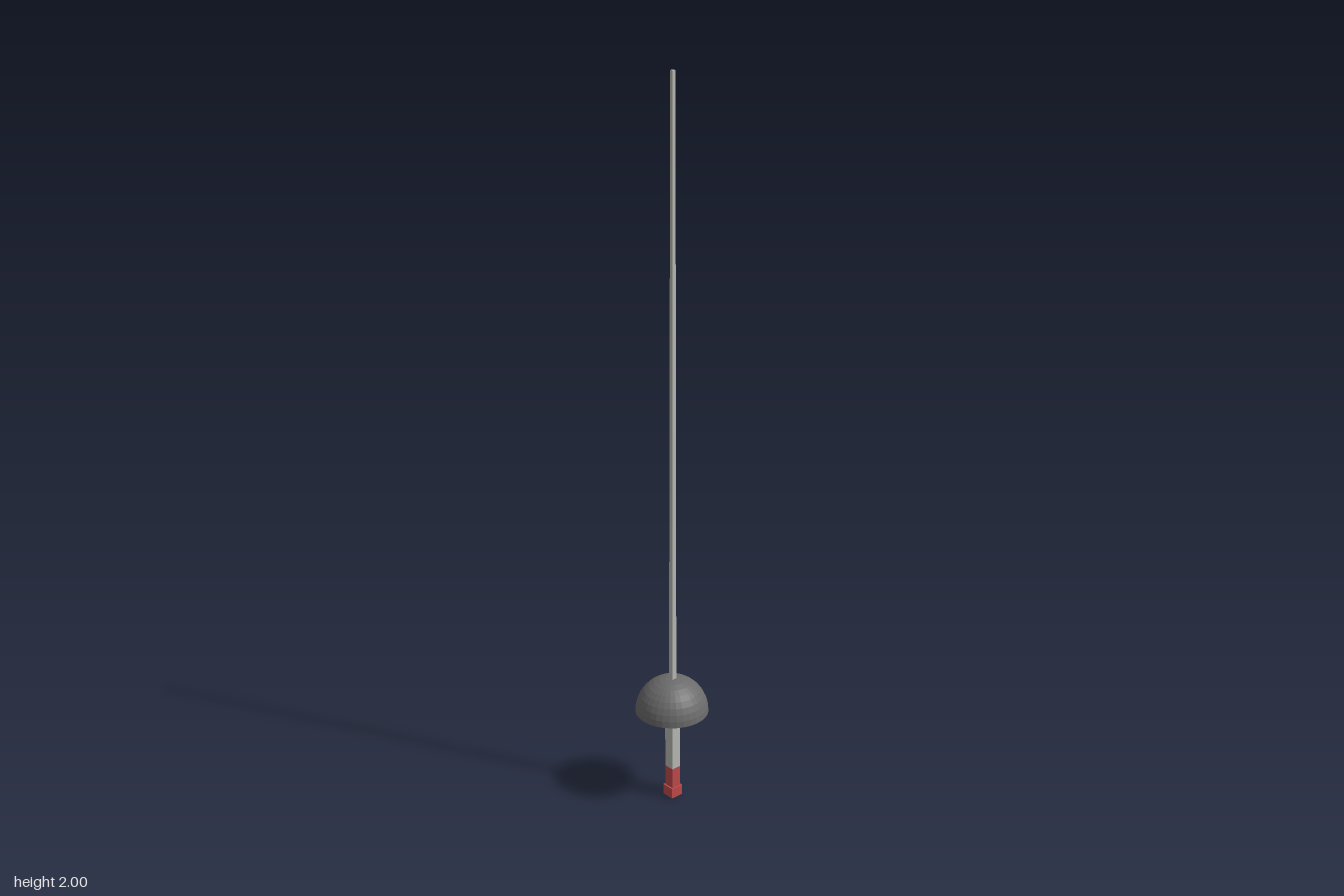
import * as THREE from 'three';

export function createModel() {
  const flat = (name, color) => {
    const m = new THREE.MeshStandardMaterial({ color });
    m.name = name;
    return m;
  };
  const steel = flat('light steel', 0xb8b8b4);
  const gunmetal = flat('dark guard metal', 0x6b6b6b);
  gunmetal.side = THREE.DoubleSide;
  gunmetal.flatShading = true;
  const red = flat('red grip', 0xc04a4a);

  const model = new THREE.Group();
  model.name = 'fencingSword';
  const axisZ = 0.003; // the blade and handle sit slightly forward of the guard centre

  const add = (name, geometry, material, y, z = axisZ) => {
    const mesh = new THREE.Mesh(geometry, material);
    mesh.name = name;
    mesh.position.set(0, y, z);
    model.add(mesh);
  };
  const block = (name, width, depth, y0, y1, material) =>
    add(name, new THREE.BoxGeometry(width, y1 - y0, depth), material, (y0 + y1) / 2);

  // Handle: pommel, red lower grip, then a steel grip with red on its left face
  block('pommel', 0.037, 0.037, 0, 0.03, red);
  block('lowerGrip', 0.028, 0.03, 0.03, 0.09, red);
  block('upperGrip', 0.028, 0.03, 0.09, 0.355, [red, steel, steel, steel, steel, steel]);

  // Hollow bowl guard, open underneath
  add('bowlGuard', new THREE.SphereGeometry(0.1, 32, 9, 0, Math.PI * 2, 0, Math.PI / 2),
    gunmetal, 0.265, 0);

  // Square blade, narrowing towards the tip
  const bladeLength = 1.64;
  const blade = new THREE.BoxGeometry(1, bladeLength, 1);
  const p = blade.attributes.position;
  for (let i = 0; i < p.count; i++) {
    const width = p.getY(i) > 0 ? 0.009 : 0.014;
    p.setX(i, p.getX(i) * width);
    p.setZ(i, p.getZ(i) * width);
  }
  blade.computeVertexNormals();
  add('blade', blade, steel, 2 - bladeLength / 2);

  return model;
}
